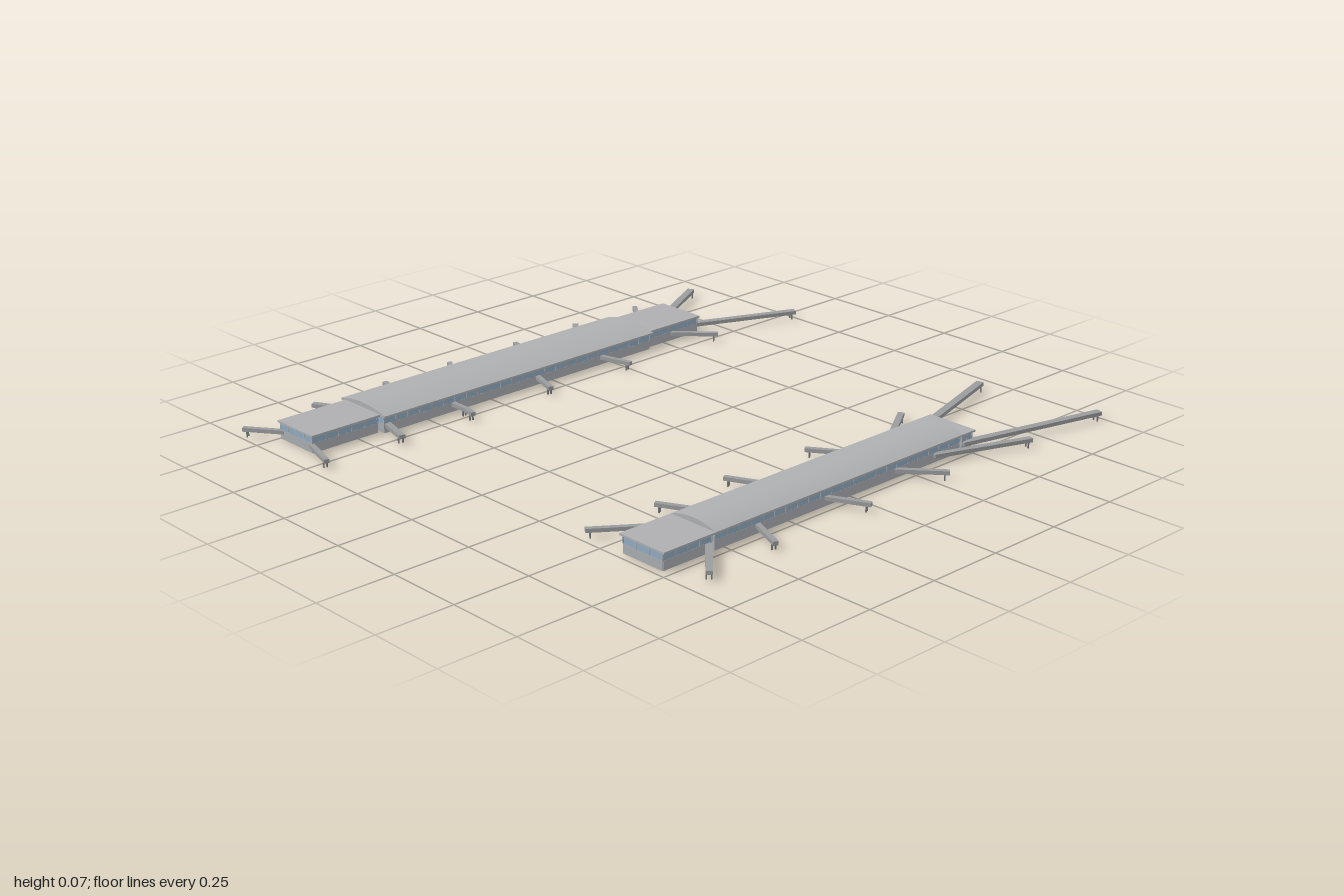
import * as THREE from 'three';
import { toCreasedNormals } from 'three/addons/utils/BufferGeometryUtils.js';

const mat = (name, color, side = THREE.FrontSide) => {
  const m = new THREE.MeshStandardMaterial({ color, side });
  m.name = name;
  return m;
};
const roofMat = mat('roof grey', 0xaeafb1);
const wallMat = mat('wall grey', 0xa9acb0, THREE.DoubleSide);
const glassMat = mat('window blue', 0x8fa9c0, THREE.DoubleSide);
const bridgeMat = mat('bridge grey', 0x9a9b9d);
const legMat = mat('leg grey', 0x77797c);

const EAVE = 0.052, ROOF = 0.058, CROWN = 0.074, SILL = 0.03;

function box(parent, name, material, w, h, d, x, y, z) {
  const m = new THREE.Mesh(new THREE.BoxGeometry(w, h, d), material);
  m.name = name;
  m.position.set(x, y, z);
  parent.add(m);
  return m;
}

// One wall side: lower wall, window band and posts, from (x0,z0) to (x1,z1)
function wall(parent, x0, z0, x1, z1) {
  const len = Math.hypot(x1 - x0, z1 - z0);
  const side = new THREE.Group();
  side.name = 'wallSide';
  side.position.set((x0 + x1) / 2, 0, (z0 + z1) / 2);
  side.rotation.y = -Math.atan2(z1 - z0, x1 - x0);
  box(side, 'lowerWall', wallMat, len, SILL, 0.003, 0, SILL / 2, 0);
  box(side, 'windowBand', glassMat, len, EAVE - SILL, 0.002, 0, (SILL + EAVE) / 2, 0);
  const n = Math.max(2, Math.round(len / 0.045));
  for (let i = 0; i <= n; i++) {
    box(side, 'windowPost', wallMat, 0.005, EAVE - SILL, 0.004, -len / 2 + (len * i) / n, (SILL + EAVE) / 2, 0);
  }
  parent.add(side);
}

// A hall open underneath, with a flat roof slab and optionally a low vault
function hall(parent, name, x0, x1, z0, z1, inset, vaulted, endInset = 0.006) {
  const g = new THREE.Group();
  g.name = name;
  const a = x0 + inset, b = x1 - inset, c = z0 + endInset, d = z1 - endInset;
  wall(g, a, c, b, c);
  wall(g, b, c, b, d);
  wall(g, b, d, a, d);
  wall(g, a, d, a, c);
  box(g, 'roofSlab', roofMat, x1 - x0, ROOF - EAVE, z1 - z0, (x0 + x1) / 2, (EAVE + ROOF) / 2, (z0 + z1) / 2);
  if (vaulted) {
    const half = (x1 - x0) / 2, rise = CROWN - ROOF;
    const r = (half * half + rise * rise) / (2 * rise);
    const t = Math.asin(half / r);
    const shape = new THREE.Shape();
    shape.absarc(0, rise - r, r, Math.PI / 2 - t, Math.PI / 2 + t, false);
    shape.closePath();
    const geo = new THREE.ExtrudeGeometry(shape, { depth: z1 - z0, bevelEnabled: false, curveSegments: 14 });
    const vault = new THREE.Mesh(toCreasedNormals(geo, 0.4), roofMat);
    vault.name = 'vaultRoof';
    vault.position.set((x0 + x1) / 2, ROOF, z0);
    g.add(vault);
  }
  parent.add(g);
}

// Boarding bridge from its outer end to the wall, with a pair of legs
function bridge(parent, [xo, zo, xi, zi, w = 0.016]) {
  const len = Math.hypot(xi - xo, zi - zo);
  const g = new THREE.Group();
  g.name = 'boardingBridge';
  g.position.set(xo, 0, zo);
  g.rotation.y = -Math.atan2(zi - zo, xi - xo);
  box(g, 'bridgeTube', bridgeMat, len + 0.012, 0.012, w, len / 2 + 0.006, 0.024, 0);
  for (const s of [-1, 1]) {
    box(g, 'bridgeLeg', legMat, 0.004, 0.018, 0.004, 0.014, 0.009, s * (w / 2 - 0.003));
  }
  parent.add(g);
}

export function createModel() {
  const model = new THREE.Group();
  model.name = 'terminalConcourses';

  // Concourse on the -x side
  const west = new THREE.Group();
  west.name = 'longConcourse';
  hall(west, 'rearHall', -0.753, -0.574, -0.66, -0.43, 0.008, false);
  hall(west, 'mainHall', -0.775, -0.556, -0.43, 0.67, 0.012, true);
  hall(west, 'frontHall', -0.753, -0.578, 0.67, 0.92, 0.008, false);
  [
    [-0.86, -0.895, -0.733, -0.659, 0.024], [-0.452, -0.995, -0.595, -0.659, 0.024],
    [-0.86, -0.627, -0.749, -0.542], [-0.468, -0.643, -0.574, -0.542],
    [-0.86, -0.357, -0.772, -0.283, 0.02], [-0.458, -0.241, -0.56, -0.214],
    [-0.86, -0.093, -0.772, -0.061], [-0.463, 0.093, -0.56, 0.061],
    [-0.86, 0.183, -0.772, 0.235], [-0.458, 0.41, -0.5, 0.4],
    [-0.5, 0.4, -0.56, 0.4],
    [-0.86, 0.442, -0.772, 0.458], [-0.458, 0.68, -0.56, 0.653, 0.02],
    [-0.86, 0.717, -0.772, 0.669, 0.02], [-0.839, 0.987, -0.743, 0.918],
    [-0.458, 0.955, -0.58, 0.918],
  ].forEach((b) => bridge(west, b));
  model.add(west);

  // Concourse on the +x side
  const east = new THREE.Group();
  east.name = 'shortConcourse';
  hall(east, 'rearHall', 0.556, 0.73, -0.535, -0.48, 0.01, false);
  hall(east, 'mainHall', 0.556, 0.73, -0.48, 0.54, 0.01, true);
  hall(east, 'frontHall', 0.556, 0.73, 0.54, 0.73, 0.01, false);
  [
    [0.431, -0.918, 0.563, -0.474, 0.024], [0.844, -0.987, 0.722, -0.5, 0.024],
    [0.437, -0.537, 0.558, -0.347, 0.02], [0.839, -0.664, 0.728, -0.368, 0.02],
    [0.431, -0.119, 0.558, -0.204], [0.839, -0.294, 0.728, -0.198],
    [0.421, 0.204, 0.558, 0.14], [0.839, 0.04, 0.728, 0.093],
    [0.421, 0.474, 0.558, 0.405], [0.839, 0.421, 0.728, 0.373],
    [0.421, 0.733, 0.558, 0.542], [0.849, 0.68, 0.728, 0.563, 0.02],
  ].forEach((b) => bridge(east, b));
  model.add(east);

  return model;
}
